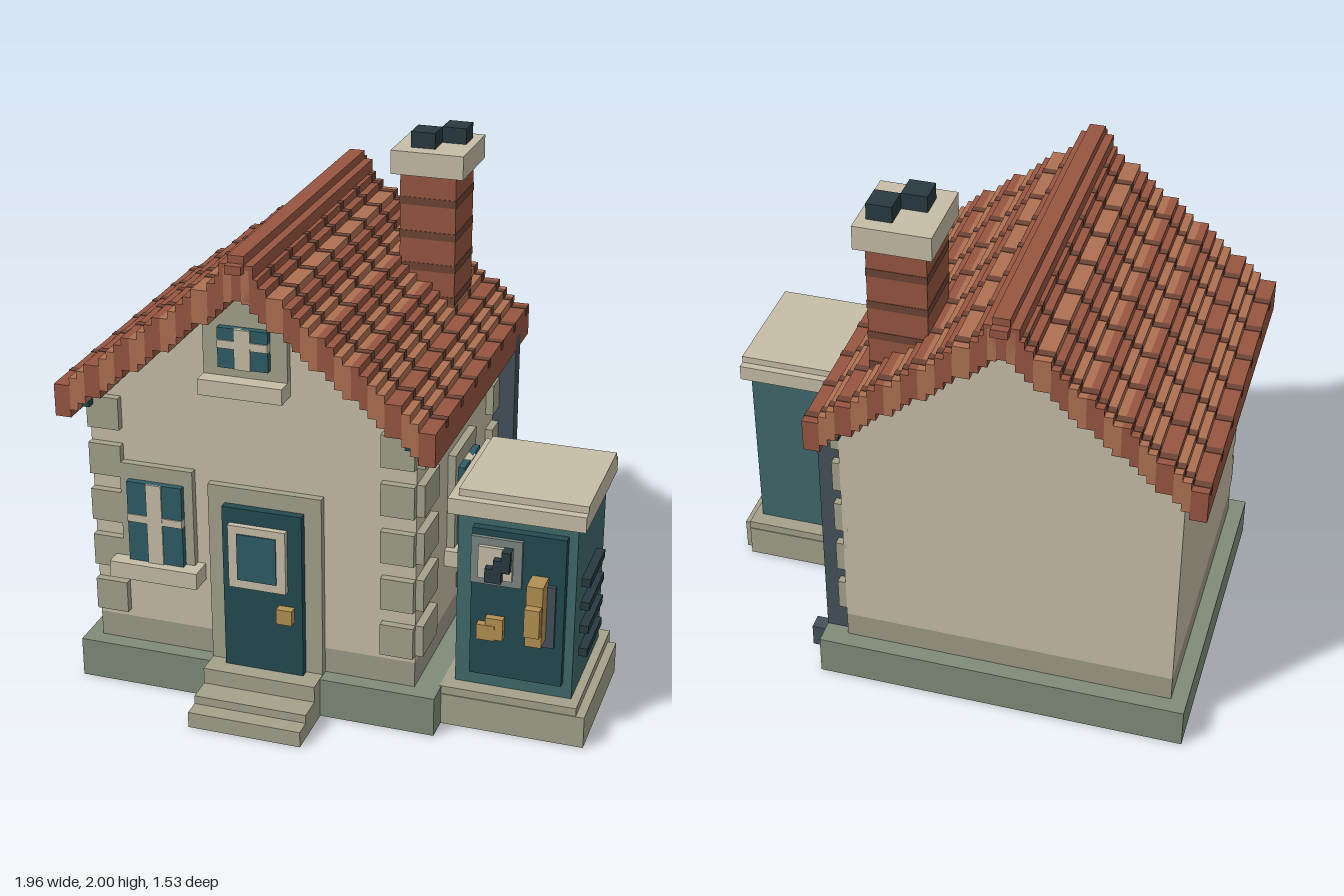
import * as THREE from 'three';

const C = {
  wall: 0xc6bda6, trim: 0xa3a08a, plinth: 0x7f8b78, band: 0x9d9a86,
  tile: 0x965540, tileLight: 0xae7052, tileDark: 0x6d4435,
  teal: 0x234a50, booth: 0x3f696b, glass: 0x2f5c66, pipe: 0x44515a,
  brass: 0xb39052, dark: 0x283a40, grey: 0x7c8682,
};
const mats = {};
const mat = (c) => (mats[c] ??= new THREE.MeshStandardMaterial({ color: C[c], flatShading: true }));

function group(parent, name) {
  const g = new THREE.Group();
  g.name = name;
  parent.add(g);
  return g;
}

// Box given by its limits on each axis
function box(parent, name, color, x0, x1, y0, y1, z0, z1) {
  const m = new THREE.Mesh(new THREE.BoxGeometry(x1 - x0, y1 - y0, z1 - z0), mat(color));
  m.position.set((x0 + x1) / 2, (y0 + y1) / 2, (z0 + z1) / 2);
  m.name = name;
  parent.add(m);
  return m;
}

// Cross-barred window facing +z: panes x0..x1, y0..y1 on a wall at z = 0
function crossWindow(parent, name, x0, x1, y0, y1) {
  const g = group(parent, name);
  const cx = (x0 + x1) / 2, cy = (y0 + y1) / 2;
  box(g, 'surround', 'trim', x0 - 0.035, x1 + 0.035, y0, y1 + 0.06, -0.01, 0.03);
  box(g, 'glass', 'glass', x0, x1, y0, y1, 0, 0.055);
  box(g, 'verticalBar', 'wall', cx - 0.03, cx + 0.03, y0, y1, 0, 0.061);
  box(g, 'horizontalBar', 'wall', x0, x1, cy, cy + 0.03, 0, 0.06);
  return g;
}

const MID = -0.267, FRONT = 0.485, BACK = -0.637, LEFT = 0.355, RIGHT = -0.89;

function buildWalls(house) {
  box(house, 'plinth', 'plinth', -0.95, 0.447, 0, 0.155, -0.70, 0.547);
  box(house, 'lowerWall', 'band', RIGHT, LEFT, 0.155, 0.255, BACK, FRONT);
  const s = new THREE.Shape([[RIGHT, 0.255], [LEFT, 0.255], [LEFT, 1.18], [MID, 1.66], [RIGHT, 1.18]]
    .map(([x, y]) => new THREE.Vector2(x, y)));
  const wall = new THREE.Mesh(new THREE.ExtrudeGeometry(s, { depth: FRONT - BACK, bevelEnabled: false }), mat('wall'));
  wall.position.z = BACK;
  wall.name = 'gableWalls';
  house.add(wall);

  // Corner stones on the front and the left side
  const q = group(house, 'cornerStones');
  for (let i = 0; i < 5; i++) {
    const y0 = 0.285 + i * 0.188, y1 = y0 + 0.125;
    box(q, 'frontStone', 'trim', RIGHT, RIGHT + 0.125, y0, y1, FRONT - 0.02, FRONT + 0.03);
    box(q, 'frontStone', 'trim', LEFT - 0.125, LEFT, y0, y1, FRONT - 0.02, FRONT + 0.03);
    box(q, 'sideStone', 'trim', LEFT - 0.02, LEFT + 0.03, y0, y1, 0.30, FRONT);
    box(q, 'sideStone', 'trim', LEFT - 0.02, LEFT + 0.03, y0, y1, BACK, -0.45);
  }
}

function buildRoof(house) {
  const roof = group(house, 'roof');
  const v = 0.0303, z0 = -0.735, z1 = 0.58;
  for (const side of [-1, 1]) {
    const slope = group(roof, side < 0 ? 'rightSlope' : 'leftSlope');
    const strip = (name, color, i, y0, y1, za, zb) => {
      const a = MID + side * (0.714 - i * v), b = MID + side * (0.714 - (i + 1) * v);
      box(slope, name, color, Math.min(a, b), Math.max(a, b), y0, y1, za, zb);
    };
    // Stepped tile courses from eave to ridge
    for (let i = 0; i < 23; i++) {
      const top = (40 + Math.floor(0.78 * i)) * v + 0.008;
      const color = i > 1 && i % 4 > 1 ? 'tileLight' : 'tile';
      strip('tileCourse', color, i, top - 4 * v - 0.003, top, z0, z1);
      // Dark joints running up the slope
      if (i < 22) for (let k = 0; k < 7; k++) {
        const z = -0.705 + k * 0.1875;
        const a = i === 0 ? 0.714 + 0.002 : 0.714 - i * v + 0.002;
        const xa = MID + side * a, xb = MID + side * (0.714 - (i + 1) * v);
        box(slope, 'tileJoint', 'tileDark', Math.min(xa, xb), Math.max(xa, xb), top - 0.03, top + 0.002, z, z + 0.03);
      }
    }
    const g0 = MID + side * 0.595, g1 = MID + side * 0.655;
    box(slope, 'eaveBoard', 'teal', Math.min(g0, g1), Math.max(g0, g1), 1.13, 1.19, -0.70, 0.547);
  }
  box(roof, 'ridgeBase', 'tile', MID - 0.062, MID + 0.062, 1.62, 1.752, z0, z1);
  box(roof, 'ridgeBeam', 'tile', MID - 0.03, MID + 0.03, 1.725, 1.757, -0.765, 0.61);
  box(roof, 'ridgeCap', 'tile', MID - 0.03, MID + 0.03, 1.74, 1.785, z0, z1);
}

function buildChimney(house) {
  const g = group(house, 'chimney');
  box(g, 'stack', 'tile', 0.045, 0.26, 1.25, 1.85, -0.54, -0.297);
  for (const y of [1.35, 1.475, 1.60, 1.73])
    box(g, 'brickBand', 'tileDark', 0.043, 0.262, y, y + 0.03, -0.542, -0.295);
  box(g, 'cap', 'wall', 0.015, 0.293, 1.85, 1.94, -0.575, -0.27);
  box(g, 'flue', 'dark', 0.075, 0.168, 1.94, 2.0, -0.425, -0.33);
  box(g, 'flue', 'dark', 0.168, 0.26, 1.94, 2.0, -0.52, -0.425);
}

function buildOpenings(house) {
  // Front door with steps
  const d = group(house, 'frontDoor');
  box(d, 'doorSurround', 'trim', -0.425, 0.01, 0.155, 0.875, FRONT - 0.01, FRONT + 0.03);
  box(d, 'doorLeaf', 'teal', -0.36, -0.055, 0.155, 0.81, FRONT, FRONT + 0.062);
  box(d, 'doorWindowFrame', 'wall', -0.33, -0.11, 0.50, 0.75, FRONT, FRONT + 0.085);
  box(d, 'doorGlass', 'glass', -0.295, -0.145, 0.535, 0.72, FRONT, FRONT + 0.09);
  box(d, 'doorKnob', 'brass', -0.145, -0.085, 0.38, 0.44, FRONT, FRONT + 0.095);
  const s = group(house, 'steps');
  [[0.062, 0.77], [0.095, 0.705], [0.158, 0.61]].forEach(([y, z]) =>
    box(s, 'step', 'trim', -0.425, 0.01, 0, y, 0.45, z));

  // Windows
  const w = crossWindow(house, 'frontWindow', -0.735, -0.52, 0.53, 0.85);
  box(w, 'sill', 'wall', -0.80, -0.455, 0.465, 0.53, -0.01, 0.092);
  w.position.z = FRONT;

  const a = crossWindow(house, 'atticWindow', -0.36, -0.172, 1.35, 1.50);
  box(a, 'widerSurround', 'trim', -0.425, -0.11, 1.26, 1.53, -0.01, 0.03);
  box(a, 'surroundTop', 'trim', -0.33, -0.205, 1.5, 1.595, -0.01, 0.03);
  box(a, 'sill', 'wall', -0.425, -0.11, 1.25, 1.31, -0.01, 0.09);
  box(a, 'keystone', 'wall', -0.297, -0.237, 1.59, 1.63, -0.01, 0.03);
  a.position.z = FRONT;

  const side = crossWindow(house, 'sideWindow', -0.107, 0.107, 0.53, 0.85);
  box(side, 'sill', 'wall', -0.172, 0.172, 0.465, 0.53, -0.01, 0.092);
  side.rotation.y = Math.PI / 2;
  side.position.set(LEFT, 0, -0.058);
}

function buildPipes(house) {
  const g = group(house, 'downpipe');
  box(g, 'pipe', 'pipe', 0.36, 0.447, 0.15, 1.15, -0.605, -0.54);
  box(g, 'pipeFoot', 'pipe', 0.38, 0.51, 0.035, 0.125, -0.61, -0.55);
  const c = group(house, 'boothConnector');
  box(c, 'connectorPipe', 'pipe', 0.35, 0.485, 0.285, 0.345, -0.235, -0.06);
  box(c, 'flange', 'pipe', 0.39, 0.545, 0.255, 0.375, -0.145, -0.06);
  box(c, 'flange', 'pipe', 0.39, 0.50, 0.255, 0.375, -0.205, -0.175);
}

function buildBooth(root) {
  const g = group(root, 'booth');
  box(g, 'boothBase', 'trim', 0.44, 0.982, 0, 0.125, -0.105, 0.455);
  box(g, 'boothBaseBack', 'trim', 0.44, 0.95, 0, 0.125, -0.138, -0.10);
  box(g, 'boothBaseTop', 'trim', 0.44, 0.95, 0.12, 0.157, -0.135, 0.452);
  box(g, 'boothBody', 'booth', 0.482, 0.918, 0.155, 0.86, -0.075, 0.392);
  box(g, 'boothRoof', 'wall', 0.45, 0.95, 0.85, 0.91, -0.105, 0.425);
  box(g, 'boothRoofTop', 'wall', 0.482, 0.95, 0.90, 0.937, -0.075, 0.392);
  box(g, 'boothDoor', 'teal', 0.543, 0.885, 0.22, 0.81, 0.38, 0.425);
  // Side vents
  for (let i = 0; i < 4; i++)
    box(g, 'vent', 'dark', 0.91, 0.95, 0.285 + i * 0.095, 0.317 + i * 0.095, 0.05, 0.298);
  // Panel with a stepped symbol, slot plate and handle
  box(g, 'signFrame', 'grey', 0.543, 0.73, 0.60, 0.785, 0.40, 0.44);
  box(g, 'signPlate', 'wall', 0.573, 0.698, 0.63, 0.755, 0.41, 0.455);
  for (let i = 0; i < 3; i++)
    box(g, 'signMark', 'dark', 0.605 + i * 0.03, Math.min(0.665 + i * 0.03, 0.698), 0.63 + i * 0.045, 0.685 + i * 0.036, 0.42, 0.483);
  box(g, 'slotPlate', 'brass', 0.573, 0.64, 0.38, 0.44, 0.41, 0.455);
  box(g, 'slotPlate', 'brass', 0.605, 0.67, 0.385, 0.47, 0.41, 0.453);
  box(g, 'handlePlate', 'pipe', 0.765, 0.855, 0.38, 0.625, 0.41, 0.44);
  box(g, 'handle', 'brass', 0.765, 0.825, 0.415, 0.655, 0.42, 0.51);
  box(g, 'handleGrip', 'brass', 0.767, 0.823, 0.47, 0.58, 0.42, 0.543);
}

export function createModel() {
  const root = new THREE.Group();
  root.name = 'cottageWithBooth';
  const house = group(root, 'house');
  buildWalls(house);
  buildRoof(house);
  buildChimney(house);
  buildOpenings(house);
  buildPipes(house);
  buildBooth(root);
  return root;
}
